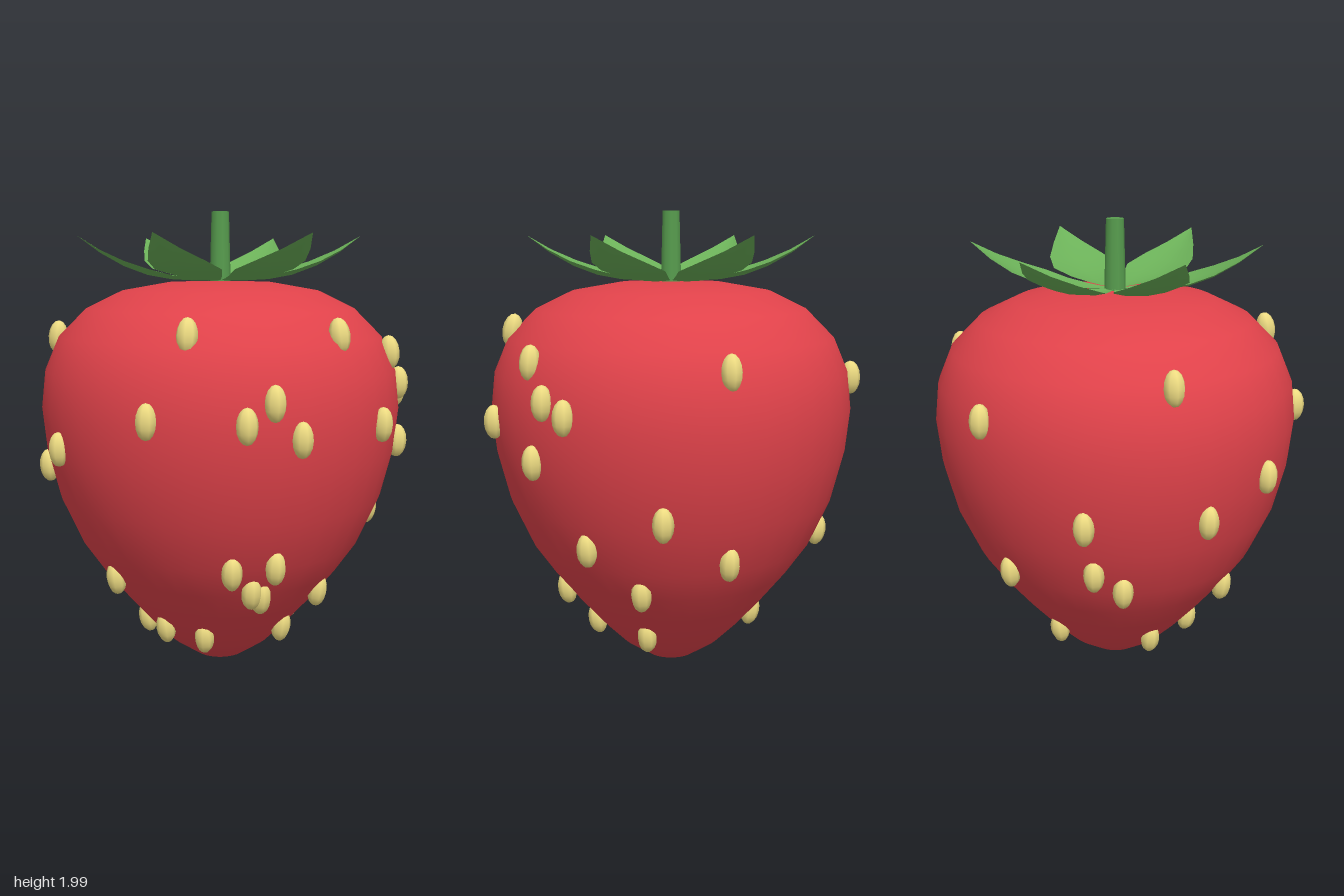
import * as THREE from 'three';

// body outline: [radius, height] from tip to crown
const PROFILE = [
  [0, 0.01], [0.11, 0.055], [0.22, 0.13], [0.31, 0.22], [0.42, 0.345], [0.52, 0.47], [0.61, 0.6],
  [0.7, 0.8], [0.75, 1.0], [0.768, 1.18], [0.75, 1.34], [0.69, 1.48], [0.575, 1.595],
  [0.42, 1.67], [0.22, 1.705], [0, 1.71],
];

// seeds: [degrees around from the front towards +x, height]
const SEEDS = [
  [-37, 1.47], [44, 1.52], [98, 1.51], [-97, 1.31], [34, 1.21], [70, 1.28], [62, 1.2], [78, 1.14],
  [-3, 1.05], [-26, 0.93], [-64, 0.94], [-62, 0.71], [-97, 0.64], [-52, 0.62], [2, 0.49], [59, 0.595],
  [75, 0.61], [68, 0.49], [73, 0.46], [113, 0.415], [-98, 0.26], [-27, 0.225], [13, 0.25], [43, 0.225],
  [106, 0.24], [131, 1.42], [140, 1.28], [148, 1.235], [-163, 1.41], [111, 1.155], [135, 1.04],
  [177, 0.84], [150, 0.7], [167, 0.5], [-160, 0.65], [162, 0.24],
];

// leaf stations: [distance from stem, half width, height]
const LEAF = [
  [0.03, 0.015, 1.712], [0.12, 0.06, 1.712], [0.21, 0.105, 1.717], [0.31, 0.15, 1.735],
  [0.41, 0.128, 1.772], [0.51, 0.07, 1.828], [0.607, 0, 1.9],
];

// radius and slope of the body at height y
function surfaceAt(y) {
  const i = PROFILE.findIndex((p, k) => k > 0 && p[1] >= y);
  const [r0, y0] = PROFILE[i - 1];
  const [r1, y1] = PROFILE[i];
  return {
    radius: r0 + ((r1 - r0) * (y - y0)) / (y1 - y0),
    slope: Math.atan2(r1 - r0, y1 - y0),
  };
}

// pointed leaf along +x, curling up to the tip and slightly cupped across
function leafGeometry() {
  const across = 4;
  const geo = new THREE.PlaneGeometry(1, 1, across, LEAF.length - 1);
  const pos = geo.attributes.position;
  for (let i = 0; i < pos.count; i++) {
    const [d, w, h] = LEAF[Math.floor(i / (across + 1))];
    const t = ((i % (across + 1)) / across) * 2 - 1;
    pos.setXYZ(i, d, h + 0.17 * w * t * t, -w * t);
  }
  geo.computeVertexNormals();
  return geo;
}

export function createModel() {
  const group = new THREE.Group();
  const material = (color, side = THREE.FrontSide) => new THREE.MeshStandardMaterial({ color, side });
  const add = (parent, name, geo, mat) => {
    const mesh = new THREE.Mesh(geo, mat);
    mesh.name = name;
    parent.add(mesh);
    return mesh;
  };

  // fruit body
  const points = PROFILE.map(([r, y]) => new THREE.Vector2(r, y));
  add(group, 'body', new THREE.LatheGeometry(points, 40), material(0xe0424a));

  // seeds sitting on the skin
  const seeds = new THREE.Group();
  seeds.name = 'seeds';
  const seedGeo = new THREE.SphereGeometry(0.042, 8, 8).scale(1, 1.68, 1);
  const seedMat = material(0xeedc82);
  for (const [deg, y] of SEEDS) {
    const { radius, slope } = surfaceAt(y);
    const a = THREE.MathUtils.degToRad(deg);
    const seed = add(seeds, 'seed', seedGeo, seedMat);
    seed.position.set(Math.sin(a) * (radius + 0.01), y, Math.cos(a) * (radius + 0.01));
    seed.rotation.set(slope * 0.25, a, 0, 'YXZ');
  }
  group.add(seeds);

  // ring of six leaves
  const leaves = new THREE.Group();
  leaves.name = 'leaves';
  const leafGeo = leafGeometry();
  const leafMat = material(0x6bb058, THREE.DoubleSide);
  for (let i = 0; i < 6; i++) {
    add(leaves, 'leaf', leafGeo, leafMat).rotation.y = (i * Math.PI) / 3;
  }
  group.add(leaves);

  // stem
  const stem = add(group, 'stem', new THREE.CylinderGeometry(0.037, 0.045, 0.3, 10), material(0x579c4e));
  stem.position.y = 1.85;

  // the seeds reach unevenly to front and back, so shift to centre
  group.position.z = -0.02;
  const root = new THREE.Group();
  root.add(group);
  return root;
}
